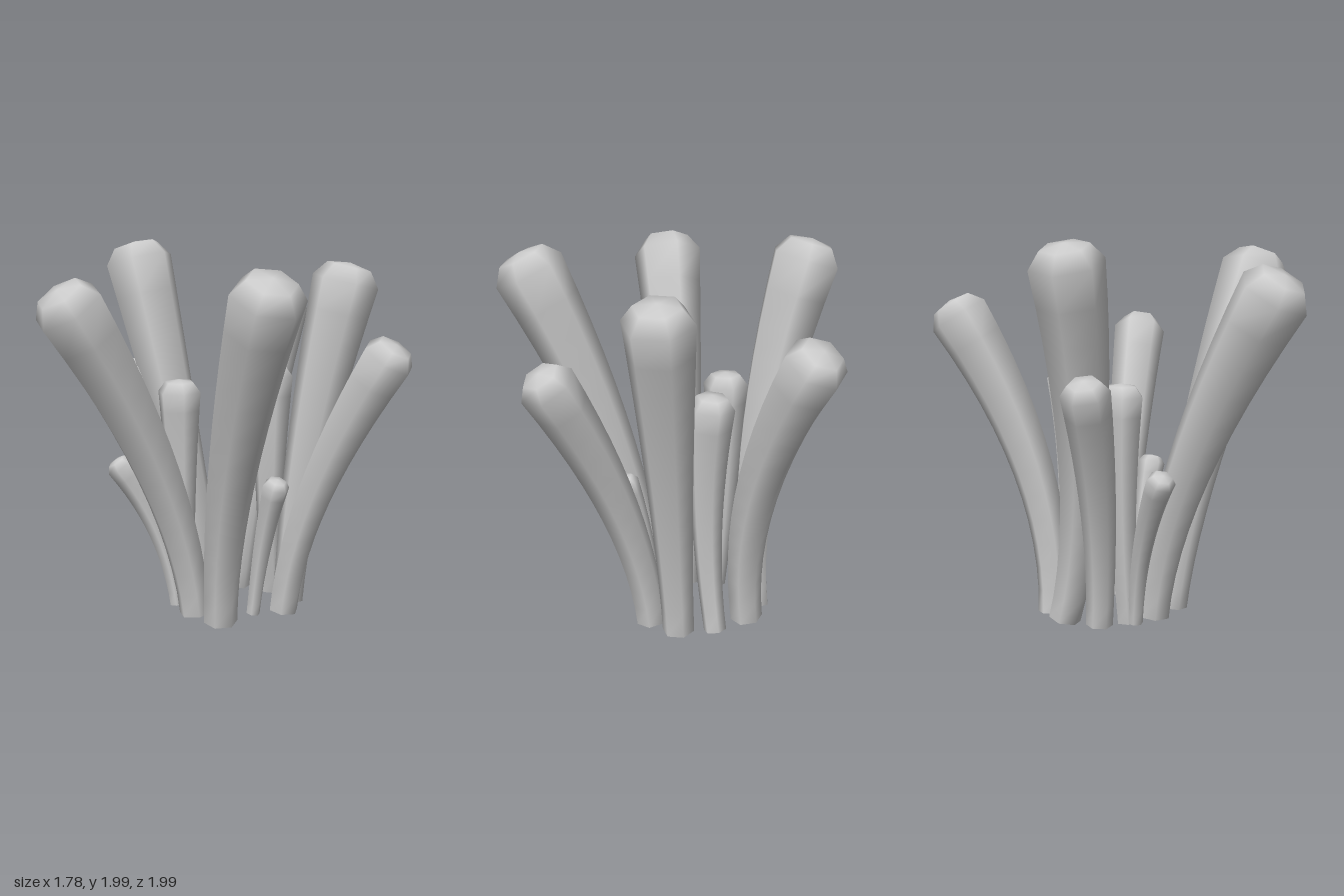
import * as THREE from 'three';

const SIDES = 6, STEPS = 12;

// One flaring six-sided stalk: swept along a bent axis, closed by a domed tip, open at the foot
function stalkGeometry(base, bend, top, r0, r1, turn) {
  const curve = new THREE.QuadraticBezierCurve3(
    new THREE.Vector3(...base), new THREE.Vector3(...bend), new THREE.Vector3(...top));
  const pos = [], idx = [];

  const addRing = (t, r, lift) => {
    const tan = curve.getTangent(t);
    const c = curve.getPoint(t).addScaledVector(tan, lift);
    const u = new THREE.Vector3(1, 0, 0).addScaledVector(tan, -tan.x).normalize();
    const v = new THREE.Vector3().crossVectors(u, tan);
    const start = pos.length / 3;
    for (let i = 0; i < SIDES; i++) {
      const a = (i / SIDES) * Math.PI * 2 + THREE.MathUtils.degToRad(turn);
      const p = c.clone().addScaledVector(u, Math.cos(a) * r).addScaledVector(v, Math.sin(a) * r);
      pos.push(p.x, Math.max(0, p.y), p.z);
    }
    return start;
  };

  // shaft rings, flaring faster near the tip, then the shoulder of the dome
  const rings = [];
  for (let s = 0; s <= STEPS; s++) {
    const t = s / STEPS;
    rings.push(addRing(t, r0 + (r1 - r0) * Math.pow(t, 1.55), 0));
  }
  rings.push(addRing(1, r1 * 0.66, r1 * 0.45));

  for (let k = 0; k < rings.length - 1; k++) {
    for (let i = 0; i < SIDES; i++) {
      const j = (i + 1) % SIDES;
      const a = rings[k] + i, b = rings[k] + j, c = rings[k + 1] + i, d = rings[k + 1] + j;
      idx.push(a, c, b, b, c, d);
    }
  }

  // tip
  const last = rings[rings.length - 1], tip = pos.length / 3;
  const peak = curve.getPoint(1).addScaledVector(curve.getTangent(1), r1 * 0.56);
  pos.push(peak.x, peak.y, peak.z);
  for (let i = 0; i < SIDES; i++) idx.push(last + i, tip, last + (i + 1) % SIDES);

  const g = new THREE.BufferGeometry();
  g.setAttribute('position', new THREE.Float32BufferAttribute(pos, 3));
  g.setIndex(idx);
  g.computeVertexNormals();
  return g;
}

export function createModel() {
  const group = new THREE.Group();
  group.name = 'stalkCluster';
  const material = new THREE.MeshStandardMaterial({ color: 0xcccccc, side: THREE.DoubleSide });
  const y0 = 0.015;

  // name, foot [x, z], bend point, rim centre, foot radius, rim radius, turn of the corners
  const stalks = [
    ['frontStalk', [-0.10, 0.125], [-0.12, 0.75, 0.20], [-0.23, 1.735, 0.84], 0.087, 0.19, 27],
    ['frontLeftStalk', [0.10, 0.125], [0.16, 0.75, 0.185], [0.67, 1.82, 0.365], 0.09, 0.192, 4],
    ['backLeftStalk', [0.205, -0.25], [0.275, 0.65, -0.265], [0.765, 1.46, -0.41], 0.08, 0.145, -5],
    ['smallLeftStalk', [0.13, -0.09], [0.17, 0.40, -0.10], [0.295, 0.76, -0.09], 0.037, 0.073, 0],
    ['backStalk', [0.10, -0.395], [0.15, 0.80, -0.42], [0.277, 1.79, -0.63], 0.085, 0.183, 30],
    ['backRightStalk', [-0.29, -0.375], [-0.20, 0.75, -0.39], [-0.42, 1.59, -0.865], 0.085, 0.163, 12],
    ['shortBackStalk', [-0.085, -0.45], [-0.03, 0.60, -0.365], [-0.063, 1.26, -0.42], 0.06, 0.12, 30],
    ['rightStalk', [-0.38, -0.255], [-0.36, 0.75, -0.06], [-0.712, 1.875, -0.03], 0.085, 0.19, 51],
    ['shortRightStalk', [-0.385, -0.045], [-0.42, 0.60, 0.005], [-0.71, 1.26, 0.065], 0.07, 0.125, 0],
    ['smallRightStalk', [-0.27, 0.105], [-0.31, 0.45, 0.14], [-0.455, 0.81, 0.345], 0.04, 0.076, 47],
    ['innerRightStalk', [-0.26, 0.055], [-0.31, 0.60, 0.035], [-0.305, 1.20, 0.045], 0.06, 0.12, 30],
  ];

  for (const [name, [x, z], bend, top, r0, r1, turn] of stalks) {
    const mesh = new THREE.Mesh(stalkGeometry([x, y0, z], bend, top, r0, r1, turn), material);
    mesh.name = name;
    group.add(mesh);
  }
  return group;
}
